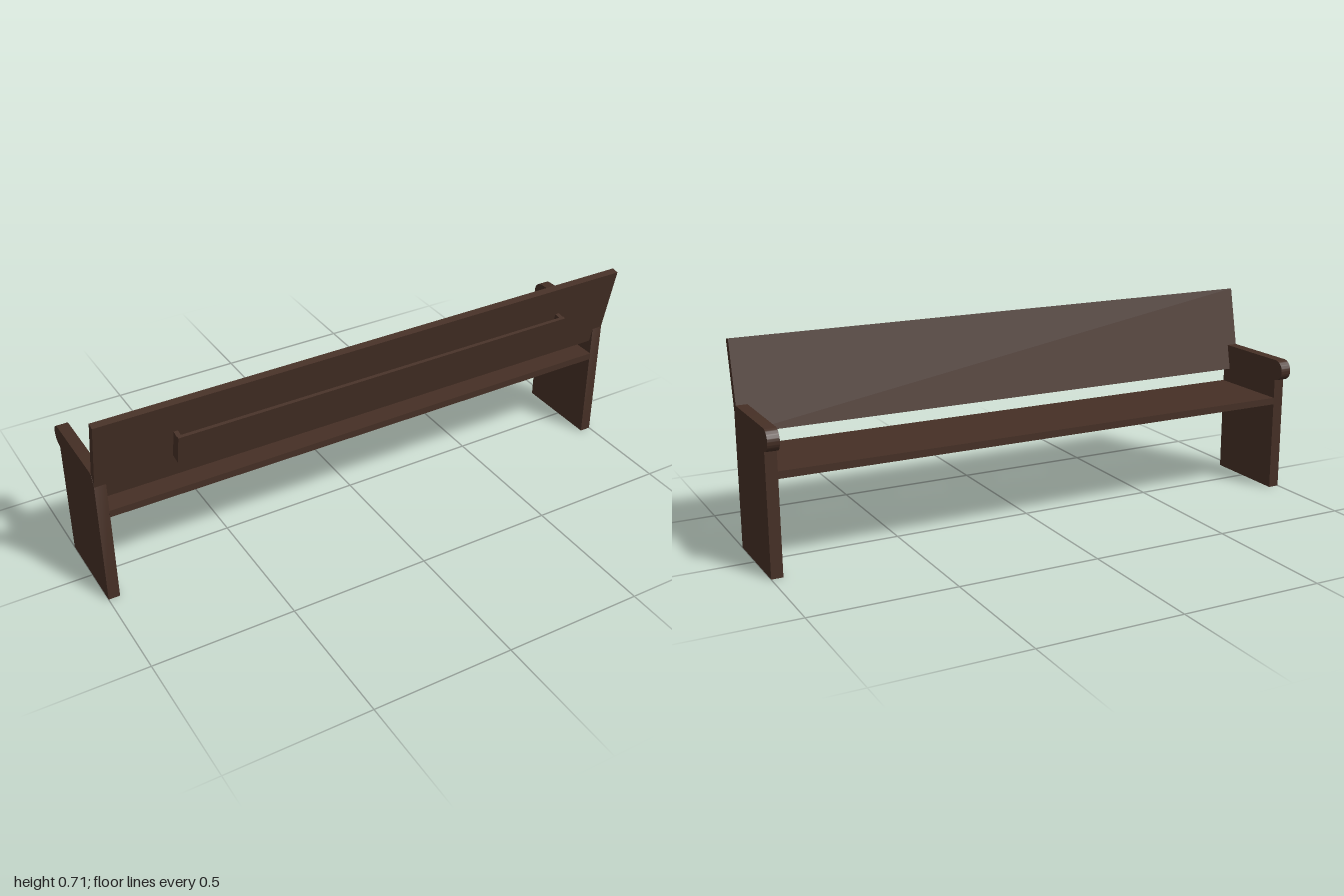
import * as THREE from 'three';
import { toCreasedNormals } from 'three/addons/utils/BufferGeometryUtils.js';

export function createModel() {
  const model = new THREE.Group();
  model.name = 'bench';
  const wood = new THREE.MeshStandardMaterial({ color: 0x452f25 });
  wood.name = 'dark brown wood';

  // box given by its [min, max] extents on each axis
  const board = (name, parent, [x0, x1], [y0, y1], [z0, z1]) => {
    const mesh = new THREE.Mesh(new THREE.BoxGeometry(x1 - x0, y1 - y0, z1 - z0), wood);
    mesh.position.set((x0 + x1) / 2, (y0 + y1) / 2, (z0 + z1) / 2);
    mesh.name = name;
    parent.add(mesh);
    return mesh;
  };

  // end panel side profile (z, y), with a rolled armrest nose
  const profile = new THREE.Shape();
  profile.moveTo(0.145, 0);
  profile.lineTo(0.145, 0.46);
  profile.lineTo(0.128, 0.497);
  profile.lineTo(-0.171, 0.497);
  profile.absarc(-0.171, 0.459, 0.038, Math.PI / 2, Math.PI * 1.5, false);
  profile.lineTo(-0.171, 0);
  profile.closePath();
  const extruded = new THREE.ExtrudeGeometry(profile, { depth: 0.04, bevelEnabled: false, curveSegments: 20 });
  extruded.translate(0, 0, -0.02).rotateY(-Math.PI / 2);
  const panelGeometry = toCreasedNormals(extruded, 0.6);
  for (const [name, side] of [['leftEndPanel', 1], ['rightEndPanel', -1]]) {
    const panel = new THREE.Mesh(panelGeometry, wood);
    panel.position.x = side * 0.98;
    panel.name = name;
    model.add(panel);
  }

  // seat plank between the ends
  board('seat', model, [-0.961, 0.961], [0.327, 0.352], [-0.171, 0.147]);

  // leaning back with a shelf on its outer face
  const back = new THREE.Group();
  back.name = 'leaningBack';
  back.position.set(0, 0.403, 0.1206);
  back.rotation.x = THREE.MathUtils.degToRad(12);
  model.add(back);
  board('backrest', back, [-0.999, 0.999], [0, 0.312], [-0.0128, 0.0128]);

  // open-topped book rack
  const rack = new THREE.Group();
  rack.name = 'bookRack';
  back.add(rack);
  const [left, right, wall] = [-0.735, 0.765, 0.015];
  board('rackFront', rack, [left, right], [0.092, 0.1995], [0.0375, 0.049]);
  board('rackFloor', rack, [left + wall, right - wall], [0.092, 0.104], [0.0125, 0.0375]);
  for (const x of [left, right - wall]) {
    board('rackEnd', rack, [x, x + wall], [0.092, 0.196], [0.0125, 0.0375]);
  }

  return model;
}
